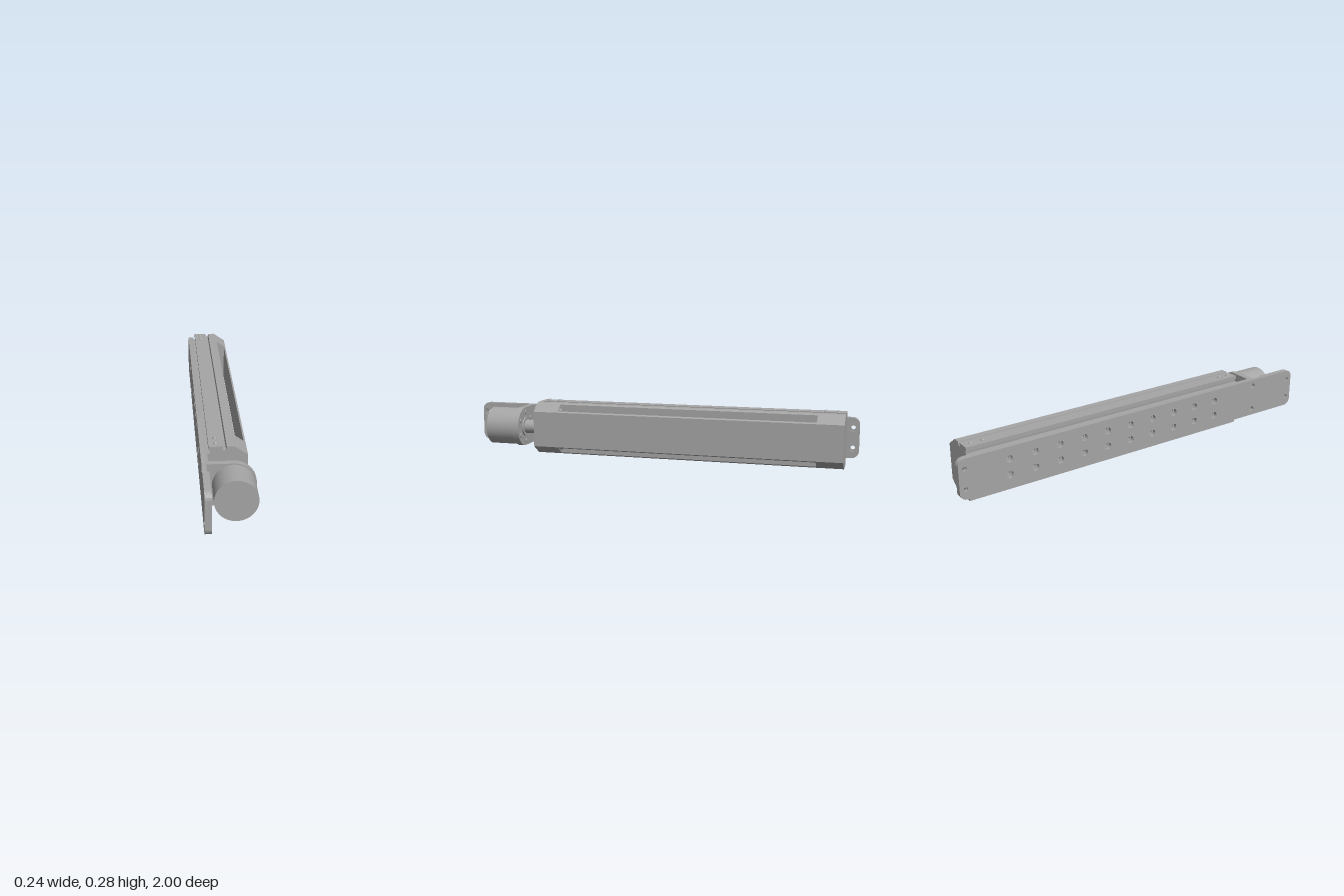
import * as THREE from 'three';
import { toCreasedNormals } from 'three/addons/utils/BufferGeometryUtils.js';

const CY = 0.14; // height of the long axis

export function createModel() {
  const model = new THREE.Group();
  const grey = new THREE.MeshStandardMaterial({ color: 0xa5a5a5 });

  const add = (name, geo) => {
    const mesh = new THREE.Mesh(geo, grey);
    mesh.name = name;
    model.add(mesh);
    return mesh;
  };
  const shapeOf = (pts) => new THREE.Shape(pts.map(([x, y]) => new THREE.Vector2(x, y)));
  const extrude = (shape, depth) => toCreasedNormals(
    new THREE.ExtrudeGeometry(shape, { depth, bevelEnabled: false, curveSegments: 24 }), 0.5);
  // profile in x, y swept from z0 to z1
  const alongZ = (name, shape, z0, z1) => add(name, extrude(shape, z1 - z0).translate(0, 0, z0));
  // outline in z, y given a thickness from x0 to x1
  const alongX = (name, shape, x0, x1) =>
    add(name, extrude(shape, x1 - x0).rotateY(-Math.PI / 2).translate(x1, 0, 0));
  const cylinderZ = (name, r, x, y, z0, z1, sides = 48) =>
    add(name, new THREE.CylinderGeometry(r, r, z1 - z0, sides).rotateX(Math.PI / 2)
      .translate(x, y, (z0 + z1) / 2));
  const mirrored = (half) => [...half, ...half.map(([x, y]) => [x, 2 * CY - y]).reverse()];
  const punch = (shape, z, y, r) => shape.holes.push(new THREE.Path().absarc(z, y, r, 0, Math.PI * 2, true));

  // mounting plate outline, optionally rounded at either end
  const plateShape = (z0, z1, r0, r1) => {
    const lo = 0.04, hi = 0.24, s = new THREE.Shape();
    s.moveTo(z0 + r0, lo);
    s.lineTo(z1 - r1, lo);
    if (r1) s.absarc(z1 - r1, lo + r1, r1, -Math.PI / 2, 0, false);
    s.lineTo(z1, hi - r1);
    if (r1) s.absarc(z1 - r1, hi - r1, r1, 0, Math.PI / 2, false);
    s.lineTo(z0 + r0, hi);
    if (r0) s.absarc(z0 + r0, hi - r0, r0, Math.PI / 2, Math.PI, false);
    s.lineTo(z0, lo + r0);
    if (r0) s.absarc(z0 + r0, lo + r0, r0, Math.PI, Math.PI * 1.5, false);
    return s;
  };
  const back = plateShape(-1, 1, 0.035, 0.035);
  const front = plateShape(-1, 0.735, 0.035, 0);
  const tip = plateShape(0.8, 1, 0, 0.035);
  for (const side of [-1, 1]) {
    // counterbored end holes
    for (const z of [-0.97, 0.97]) {
      punch(back, z, CY + side * 0.05, 0.011);
      punch(z < 0 ? front : tip, z, CY + side * 0.05, 0.019);
    }
    // two rows of holes behind the body, and the bracket holes
    for (let i = 0; i < 10; i++) {
      punch(back, -0.75 + i * 0.1337, CY + side * 0.04, 0.018);
      punch(front, -0.75 + i * 0.1337, CY + side * 0.04, 0.01);
    }
    punch(back, 0.72, CY + side * 0.066, 0.014);
  }
  alongX('mountingPlateBack', back, -0.12, -0.1);
  alongX('mountingPlateFront', front, -0.1, -0.09);
  alongX('mountingPlateTip', tip, -0.1, -0.09);

  // main rail, with dovetail grooves above and below
  const rail = mirrored([
    [0.04, 0.265], [0.03, 0.272], [-0.004, 0.272], [-0.007, 0.255], [-0.024, 0.255],
    [-0.019, 0.272], [-0.084, 0.272], [-0.084, 0.254], [-0.079, 0.266], [-0.077, 0.24], [-0.09, 0.24],
  ]);
  alongZ('rail', shapeOf(rail), -0.94, 0.63);

  // chamfered end blocks and the cover between them
  const block = shapeOf(mirrored([[0.09, 0.23], [0.04, 0.265]]));
  alongZ('backEndBlock', block, -0.94, -0.81);
  alongZ('frontEndBlock', block, 0.5, 0.63);
  alongZ('sideCover', shapeOf(mirrored([[0.09, 0.23], [0.081, 0.236]])), -0.81, 0.5);

  for (const side of [-1, 1]) {
    cylinderZ('stopPin', 0.011, 0.056, CY + side * 0.095, 0.483, 0.5, 20);
    // dome-headed screws
    for (const z of [-0.9, -0.84, 0.54, 0.595]) {
      const dome = new THREE.SphereGeometry(0.011, 16, 6, 0, Math.PI * 2, 0, Math.PI / 2).scale(1, 0.7, 1);
      const screw = add('domeScrew', dome);
      screw.position.set(-0.052, CY + side * 0.132, z);
      if (side < 0) screw.rotation.x = Math.PI;
    }
  }

  // motor bracket with a round end
  const bracket = new THREE.Shape();
  bracket.moveTo(-0.1, 0.04);
  bracket.lineTo(0.02, 0.04);
  bracket.absarc(0.02, CY, 0.1, -Math.PI / 2, Math.PI / 2, false);
  bracket.lineTo(-0.1, 0.24);
  alongZ('motorBracket', bracket, 0.705, 0.735);
  for (let i = 0; i < 6; i++) {
    const a = (i / 6) * Math.PI * 2 + Math.PI / 6;
    cylinderZ('bracketBolt', 0.011, 0.02 + 0.075 * Math.cos(a), CY + 0.075 * Math.sin(a), 0.7, 0.706, 16);
  }
  cylinderZ('shaftCollar', 0.05, 0.02, CY, 0.698, 0.706);
  cylinderZ('driveShaft', 0.035, 0.02, CY, 0.63, 0.7);
  cylinderZ('motor', 0.095, 0.02, CY, 0.735, 0.885, 64);

  return model;
}
